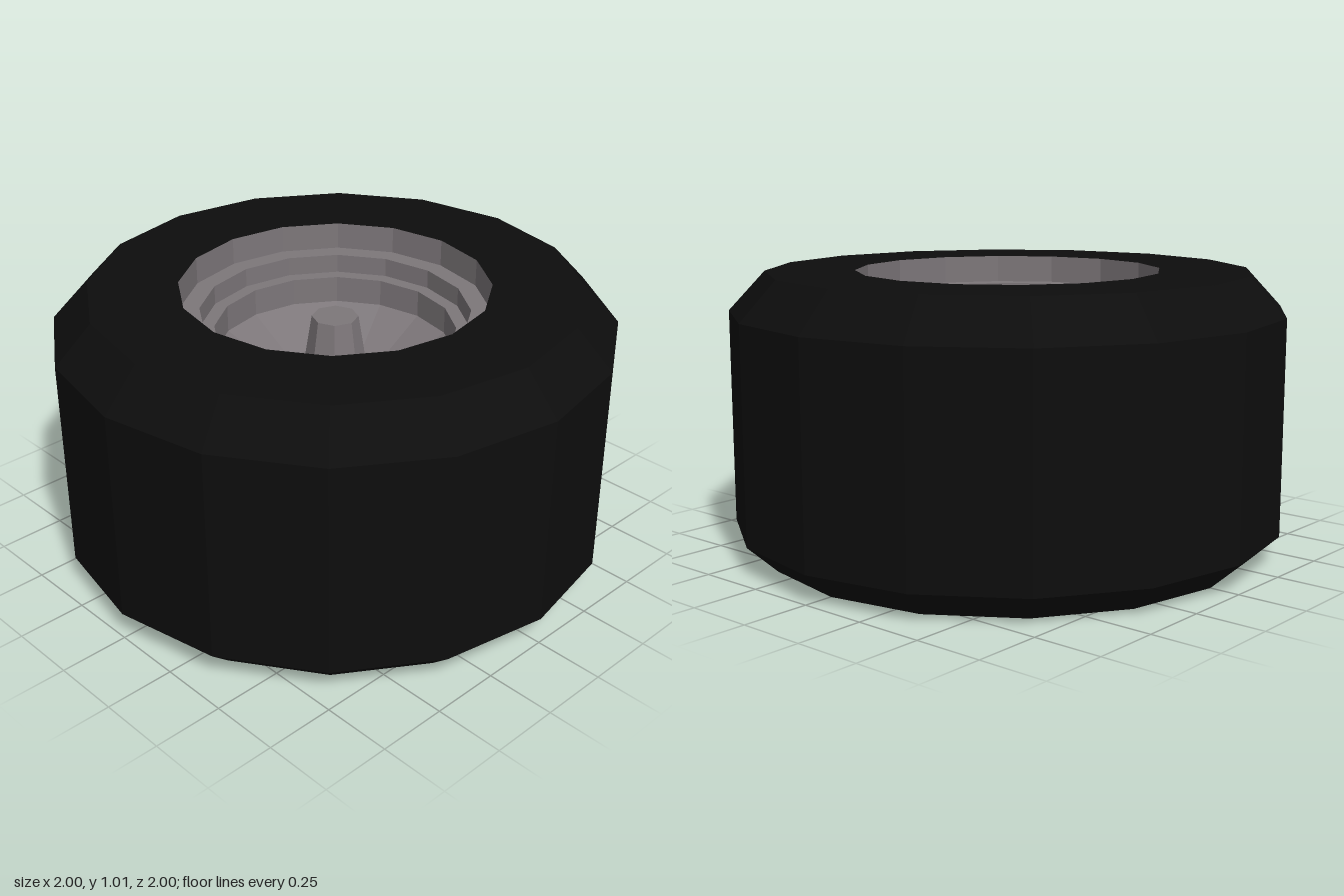
import * as THREE from 'three';

// Faceted solid of revolution from [radius, height] pairs
function turned(name, profile, sides, material) {
  const points = profile.map(([r, y]) => new THREE.Vector2(r, y));
  const geometry = new THREE.LatheGeometry(points, sides).toNonIndexed();
  geometry.computeVertexNormals();
  const mesh = new THREE.Mesh(geometry, material);
  mesh.name = name;
  return mesh;
}

export function createModel() {
  const rubber = new THREE.MeshStandardMaterial({ color: 0x0d0d0d });
  rubber.name = 'black rubber';
  const metal = new THREE.MeshStandardMaterial({ color: 0x7d777a });
  metal.name = 'grey metal';

  const wheel = new THREE.Group();
  wheel.name = 'wheel';

  // Tyre: recessed underside, chamfered shoulders, flat upper sidewall
  wheel.add(turned('tyre', [
    [0, 0.17], [0.65, 0.17], [0.65, 0], [0.89, 0], [1, 0.1],
    [1, 0.87], [0.87, 1.01], [0.55, 1.01],
  ], 16, rubber));

  // Rim: two steps down into a shallow bowl
  wheel.add(turned('rim', [
    [0.55, 1.01], [0.55, 0.91], [0.48, 0.91], [0.48, 0.84],
    [0.43, 0.84], [0.43, 0.74], [0.25, 0.63], [0, 0.63],
  ], 16, metal));

  // Hub: washer and tapered axle nut
  wheel.add(turned('hubWasher', [[0.16, 0.63], [0.16, 0.65], [0.12, 0.65]], 8, metal));
  wheel.add(turned('axleNut', [[0.12, 0.65], [0.083, 0.885], [0, 0.885]], 8, metal));

  return wheel;
}
